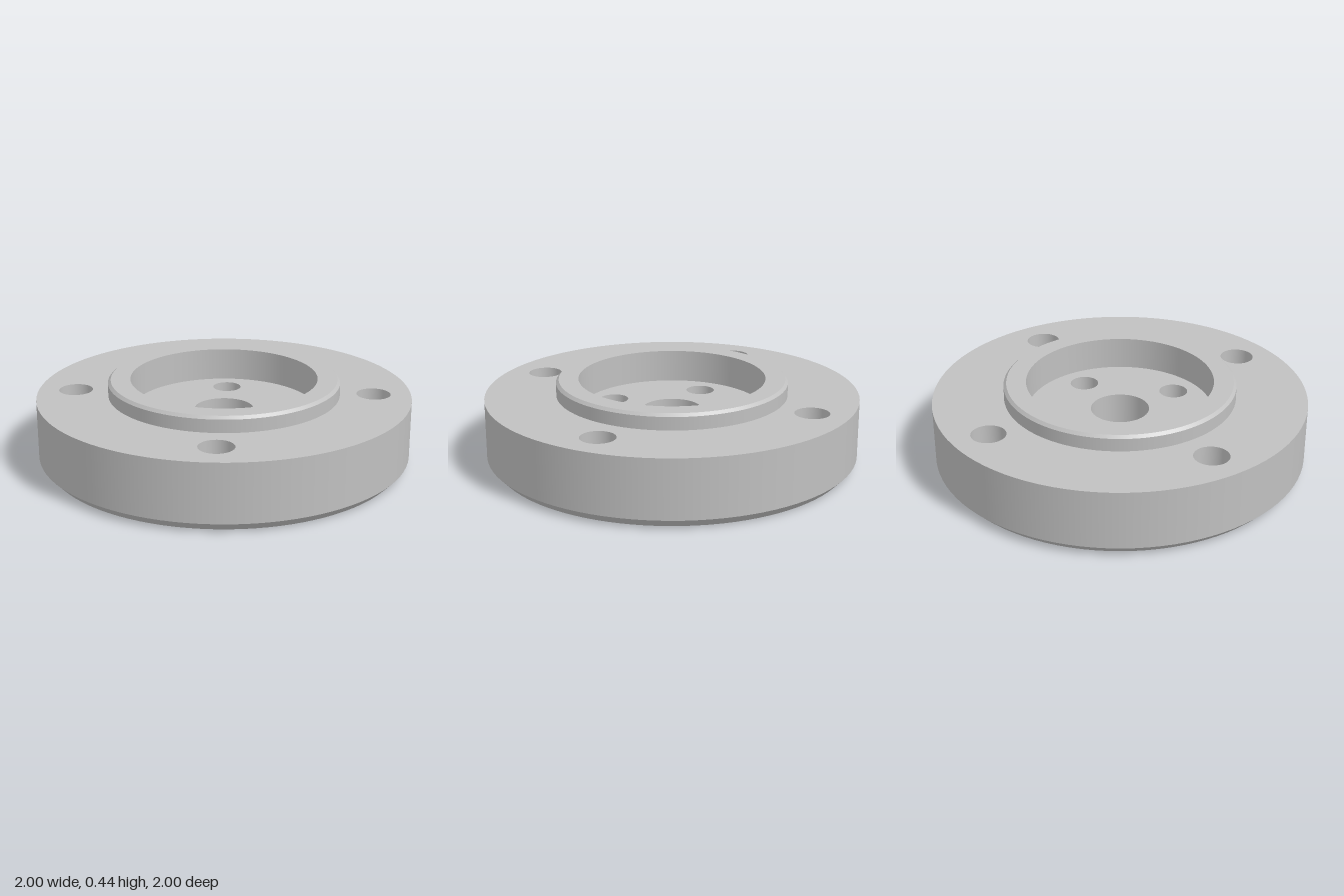
import * as THREE from 'three';

const SEG = 96;
const steel = new THREE.MeshStandardMaterial({ color: 0xc0c0c0 });
steel.name = 'plain steel';

// Surface of revolution between two [radius, height] points;
// rising profiles face outward, falling ones face the axis.
function band(name, from, to, x = 0, z = 0) {
  const points = [from, to].map(([r, y]) => new THREE.Vector2(r, y));
  const mesh = new THREE.Mesh(new THREE.LatheGeometry(points, SEG), steel);
  mesh.position.set(x, 0, z);
  mesh.name = name;
  return mesh;
}

// Flat disc at height y with circular holes given as [x, z, radius].
function face(name, radius, y, holes, up = true, x = 0, z = 0) {
  const shape = new THREE.Shape().absarc(0, 0, radius, 0, Math.PI * 2);
  for (const [hx, hz, r] of holes) {
    shape.holes.push(new THREE.Path().absarc(hx, up ? -hz : hz, r, 0, Math.PI * 2, true));
  }
  const geometry = new THREE.ShapeGeometry(shape, SEG / 2);
  geometry.rotateX(up ? -Math.PI / 2 : Math.PI / 2);
  const mesh = new THREE.Mesh(geometry, steel);
  mesh.position.set(x, y, z);
  mesh.name = name;
  return mesh;
}

const corners = (d, r) => [[d, d, r], [-d, d, r], [-d, -d, r], [d, -d, r]];

export function createModel() {
  const model = new THREE.Group();
  model.name = 'flangedHub';

  const flangeTop = 0.36, rimTop = 0.445, floorY = 0.268, blindY = 0.16;
  const rimR = 0.62, pocketR = 0.5;
  const throughHoles = [[0, 0, 0.157], ...corners(0.252, 0.077)];
  const blindHoles = corners(0.566, 0.091);

  // Flange body with a chamfered lower edge
  model.add(
    face('flangeBottom', 0.955, 0, throughHoles, false),
    band('flangeChamfer', [0.955, 0], [1, 0.047]),
    band('flangeSide', [1, 0.047], [1, flangeTop]),
    face('flangeTop', 1, flangeTop, [[0, 0, rimR], ...blindHoles]),
  );

  // Raised rim around the pocket
  model.add(
    band('rimSide', [rimR, flangeTop], [rimR, 0.43]),
    band('rimChamfer', [rimR, 0.43], [0.605, rimTop]),
    band('rimTop', [0.605, rimTop], [pocketR, rimTop]),
    band('pocketWall', [pocketR, rimTop], [pocketR, floorY]),
    face('pocketFloor', pocketR, floorY, throughHoles),
  );

  // Centre bore and bolt holes pass right through the floor
  throughHoles.forEach(([x, z, r], i) => {
    model.add(band(i ? 'boltHole' : 'centreBore', [r, floorY], [r, 0], x, z));
  });

  // Blind holes in the flange
  for (const [x, z, r] of blindHoles) {
    model.add(
      band('blindHoleWall', [r, flangeTop], [r, blindY], x, z),
      face('blindHoleFloor', r, blindY, [], true, x, z),
    );
  }
  return model;
}
